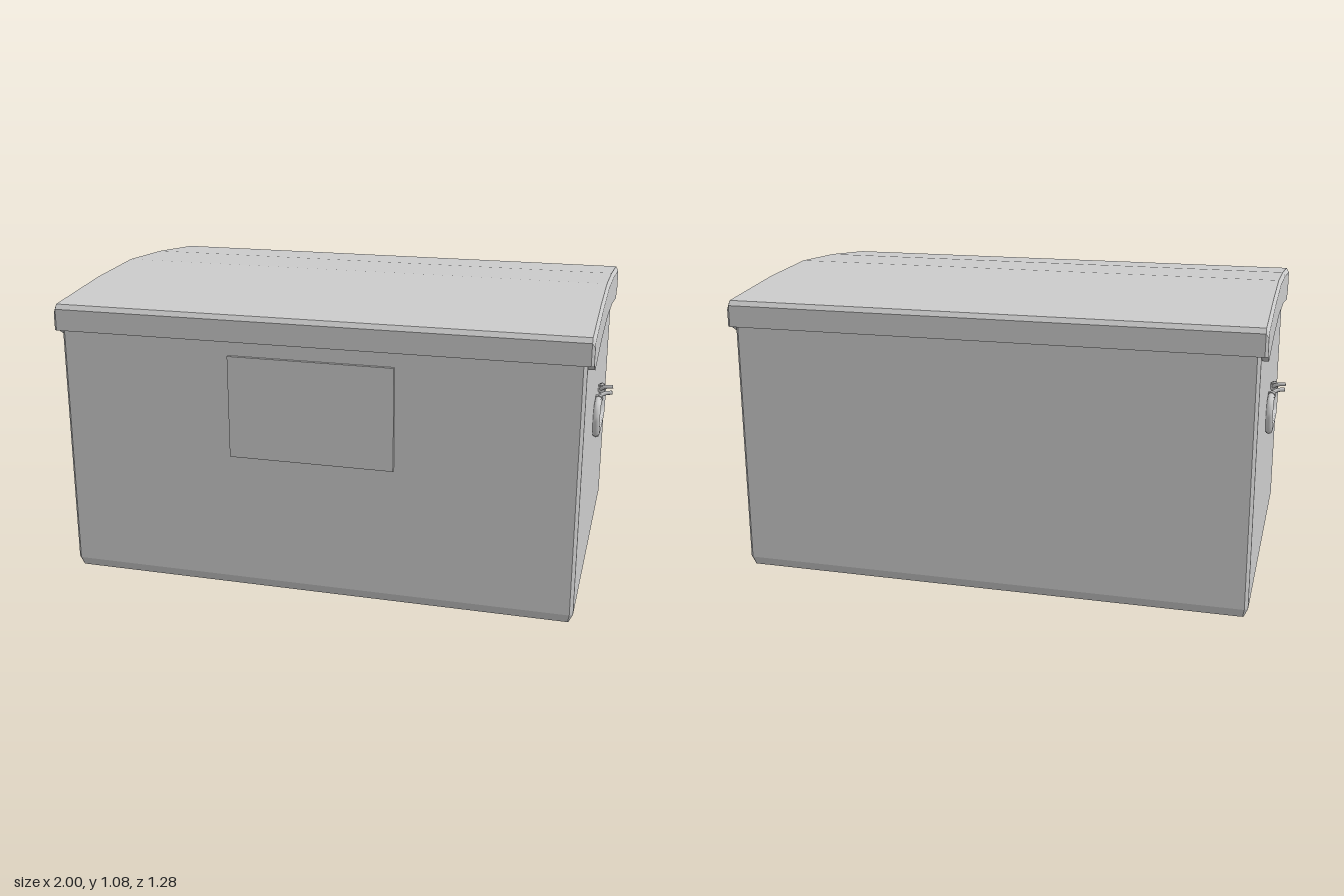
import * as THREE from 'three';

const grey = new THREE.MeshStandardMaterial({ color: 0xcccccc, flatShading: true });
const metal = new THREE.MeshStandardMaterial({ color: 0xcccccc });

function addMesh(parent, name, geometry, material = grey) {
  const mesh = new THREE.Mesh(geometry, material);
  mesh.name = name;
  parent.add(mesh);
  return mesh;
}

const shapeOf = (points) => new THREE.Shape(points.map(([x, y]) => new THREE.Vector2(x, y)));

// Box with chamfered upright corners and a chamfered foot; its top hides in the lid
function bodyGeometry() {
  const w = 0.94, d = 0.624, c = 0.012, foot = 0.033;
  const outline = shapeOf([
    [w - c, -d], [w, -d + c], [w, d - c], [w - c, d],
    [-w + c, d], [-w, d - c], [-w, -d + c], [-w + c, -d],
  ]);
  const geo = new THREE.ExtrudeGeometry(outline, {
    depth: 0.92, bevelThickness: foot, bevelSize: 0.014, bevelOffset: -0.014, bevelSegments: 1,
  });
  return geo.translate(0, 0, foot).rotateX(-Math.PI / 2);
}

// Arched lid: a (z, y) profile swept along x, its upper end edges chamfered
function lidGeometry() {
  const half = [
    [0.29, 1.06], [0.626, 1.025], [0.638, 1.008], [0.638, 0.93],
    [0.624, 0.93], [0.57, 0.902], [0.29, 0.94],
  ];
  const mirrored = half.map(([z, y]) => [-z, y]).reverse();
  const profile = shapeOf([[0, 1.076], ...half, [0, 0.956], ...mirrored]);
  const geo = new THREE.ExtrudeGeometry(profile, { depth: 3, steps: 3, bevelEnabled: false });
  const stations = [-0.962, -0.952, 0.952, 0.962];
  const pos = geo.attributes.position;
  for (let i = 0; i < pos.count; i++) {
    const step = Math.round(pos.getZ(i));
    if (step === 0 || step === 3) {
      if (pos.getY(i) > 1) pos.setY(i, pos.getY(i) - 0.016);
      if (Math.abs(pos.getX(i)) > 0.6) pos.setX(i, pos.getX(i) * 0.988);
    }
    pos.setZ(i, stations[step]);
  }
  geo.rotateY(Math.PI / 2);
  geo.computeVertexNormals();
  return geo;
}

// Bail handle for one end: a bent rod, two collars and two out-turned tips
function makeHandle(side) {
  const group = new THREE.Group();
  group.name = side > 0 ? 'leftHandle' : 'rightHandle';
  const x = 0.952;
  const half = [[0.055, 0.655], [0.105, 0.653], [0.143, 0.64], [0.157, 0.6], [0.141, 0.55], [0.108, 0.532]];
  const path = [...half, ...half.map(([z, y]) => [-z, y]).reverse()]
    .map(([z, y]) => new THREE.Vector3(side * x, y, z));
  const rod = new THREE.CatmullRomCurve3(path, false, 'catmullrom', 0.35);
  addMesh(group, 'handleRod', new THREE.TubeGeometry(rod, 44, 0.0135, 8), metal);

  for (const s of [-1, 1]) {
    const collar = addMesh(group, 'handleCollar', new THREE.CylinderGeometry(0.016, 0.016, 0.022, 8), metal);
    collar.rotation.x = Math.PI / 2;
    collar.position.set(side * x, 0.655, s * 0.072);

    const tip = new THREE.CatmullRomCurve3([
      new THREE.Vector3(side * x, 0.655, s * 0.064),
      new THREE.Vector3(side * 0.96, 0.664, s * 0.05),
      new THREE.Vector3(side * 0.975, 0.67, s * 0.043),
      new THREE.Vector3(side * 0.998, 0.673, s * 0.039),
    ]);
    addMesh(group, 'handleTip', new THREE.TubeGeometry(tip, 8, 0.0075, 8), metal);
    const end = addMesh(group, 'tipEnd', new THREE.CircleGeometry(0.0075, 8), metal);
    end.position.set(side * 0.998, 0.673, s * 0.039);
    end.rotation.y = side * Math.PI / 2;
  }
  return group;
}

export function createModel() {
  const chest = new THREE.Group();
  chest.name = 'storageChest';

  addMesh(chest, 'body', bodyGeometry());
  addMesh(chest, 'lid', lidGeometry());

  // Raised plate on the front
  const plate = addMesh(chest, 'frontPlate', new THREE.BoxGeometry(0.6, 0.372, 0.022));
  plate.position.set(0, 0.692, 0.625);

  for (const side of [-1, 1]) chest.add(makeHandle(side));
  return chest;
}
